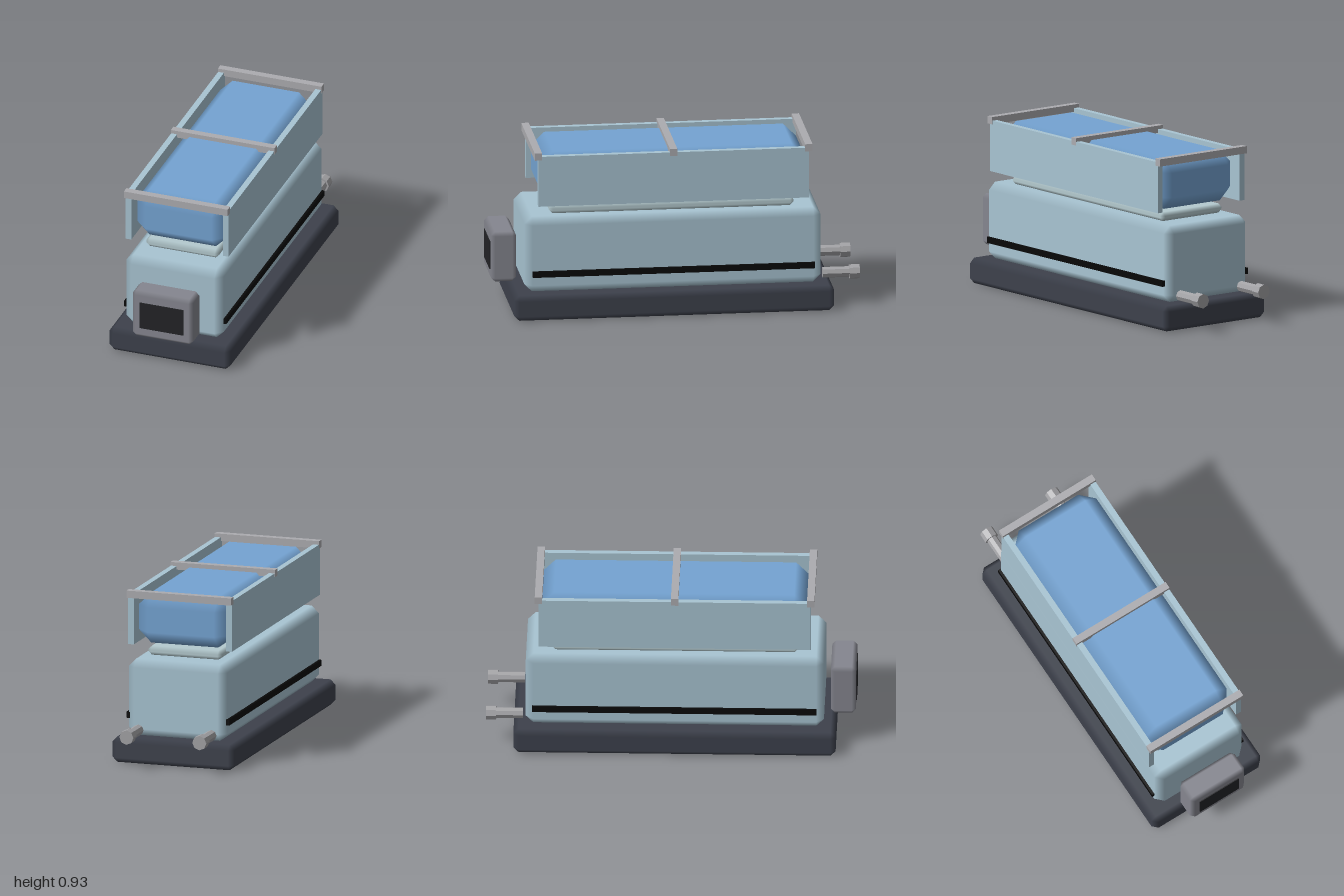
import * as THREE from 'three';

const mat = (color, flatShading = false) => new THREE.MeshStandardMaterial({ color, flatShading });

// Box with every edge cut at 45 degrees: flat faces, softly shaded chamfers
function chamferBox(w, h, d, c) {
  const half = [w / 2, h / 2, d / 2];
  const pos = [], nor = [], idx = [];
  // three vertices per corner, one on each neighbouring face
  const id = (s, axis) => ((s[0] > 0 ? 4 : 0) + (s[1] > 0 ? 2 : 0) + (s[2] > 0 ? 1 : 0)) * 3 + axis;
  const signs = [-1, 1];
  for (const x of signs) for (const y of signs) for (const z of signs) {
    const s = [x, y, z];
    for (let a = 0; a < 3; a++) {
      for (let k = 0; k < 3; k++) {
        pos.push(s[k] * (half[k] - (k === a ? 0 : c)));
        nor.push(k === a ? s[k] : 0);
      }
    }
  }
  // add a triangle, wound so that it faces along 'out'
  const v = (i) => new THREE.Vector3().fromArray(pos, i * 3);
  const tri = (a, b, e, out) => {
    const n = v(b).sub(v(a)).cross(v(e).sub(v(a)));
    if (n.dot(out) > 0) idx.push(a, b, e); else idx.push(a, e, b);
  };
  const quad = (a, b, e, f, out) => { tri(a, b, e, out); tri(a, e, f, out); };
  const at = (a, sa, b, sb, e, se) => { const s = []; s[a] = sa; s[b] = sb; s[e] = se; return s; };
  for (let a = 0; a < 3; a++) {
    const b = (a + 1) % 3, e = (a + 2) % 3;
    for (const s of signs) {
      // flat face
      quad(id(at(a, s, b, -1, e, -1), a), id(at(a, s, b, 1, e, -1), a),
        id(at(a, s, b, 1, e, 1), a), id(at(a, s, b, -1, e, 1), a),
        new THREE.Vector3().fromArray(at(a, s, b, 0, e, 0)));
      // chamfer between faces a and b
      for (const t of signs) {
        const lo = at(a, s, b, t, e, -1), hi = at(a, s, b, t, e, 1);
        quad(id(lo, a), id(lo, b), id(hi, b), id(hi, a), new THREE.Vector3().fromArray(at(a, s, b, t, e, 0)));
      }
    }
  }
  // corner triangles
  for (const x of signs) for (const y of signs) for (const z of signs) {
    const s = [x, y, z];
    tri(id(s, 0), id(s, 1), id(s, 2), new THREE.Vector3(x, y, z));
  }
  const g = new THREE.BufferGeometry();
  g.setAttribute('position', new THREE.Float32BufferAttribute(pos, 3));
  g.setAttribute('normal', new THREE.Float32BufferAttribute(nor, 3));
  g.setIndex(idx);
  return g;
}

export function createModel() {
  const model = new THREE.Group();
  model.name = 'model';

  const shell = mat(0xa8c4d2), dark = mat(0x3d414c), grey = mat(0x85868f), screenMat = mat(0x222326);
  const blue = mat(0x74a3d2), pale = mat(0xb4cacf), black = mat(0x080808), rail = mat(0xacacb0);
  const metal = mat(0xa2a2a5, true);

  // Block from its extents; c is the chamfer, 0 for sharp edges
  const block = (name, material, [x0, x1], [y0, y1], [z0, z1], c = 0) => {
    const size = [x1 - x0, y1 - y0, z1 - z0];
    const mesh = new THREE.Mesh(c ? chamferBox(...size, c) : new THREE.BoxGeometry(...size), material);
    mesh.position.set((x0 + x1) / 2, (y0 + y1) / 2, (z0 + z1) / 2);
    mesh.name = name;
    model.add(mesh);
  };

  // Stacked main parts
  block('base', dark, [-0.348, 0.348], [0, 0.14], [-0.85, 0.89], 0.028);
  block('body', shell, [-0.28, 0.28], [0.14, 0.56], [-0.785, 0.825], 0.041);
  block('topPad', pale, [-0.21, 0.21], [0.56, 0.61], [-0.645, 0.685], 0.02);
  block('core', blue, [-0.262, 0.262], [0.629, 0.907], [-0.705, 0.735], 0.071);

  // Display at the front
  block('displayHousing', grey, [-0.174, 0.174], [0.177, 0.455], [0.86, 0.995], 0.021);
  block('displayScreen', screenMat, [-0.125, 0.125], [0.238, 0.393], [0.98, 1.0]);

  // Cross bars over the core
  for (const z of [-0.715, 0.02, 0.755]) {
    block('crossBar', rail, [-0.298, 0.298], [0.89, 0.93], [z - 0.02, z + 0.02]);
  }

  // Mirrored parts
  for (const s of [-1, 1]) {
    const side = s > 0 ? 'left' : 'right';
    const span = (a, b) => (s > 0 ? [a, b] : [-b, -a]);
    block(side + 'Panel', shell, span(0.263, 0.296), [0.63, 0.91], [-0.715, 0.755]);
    block(side + 'Strip', black, span(0.27, 0.294), [0.23, 0.263], [-0.75, 0.785]);

    // Rear pipe with a wider end cap
    const pipe = new THREE.Group();
    pipe.name = side + 'Pipe';
    for (const [name, r, z0, z1] of [['pipeShaft', 0.03, -0.95, -0.8], ['pipeCap', 0.04, -1, -0.945]]) {
      const mesh = new THREE.Mesh(new THREE.CylinderGeometry(r, r, z1 - z0, 8).rotateX(Math.PI / 2), metal);
      mesh.position.set(s * 0.208, 0.18, (z0 + z1) / 2);
      mesh.name = name;
      pipe.add(mesh);
    }
    model.add(pipe);
  }
  return model;
}
